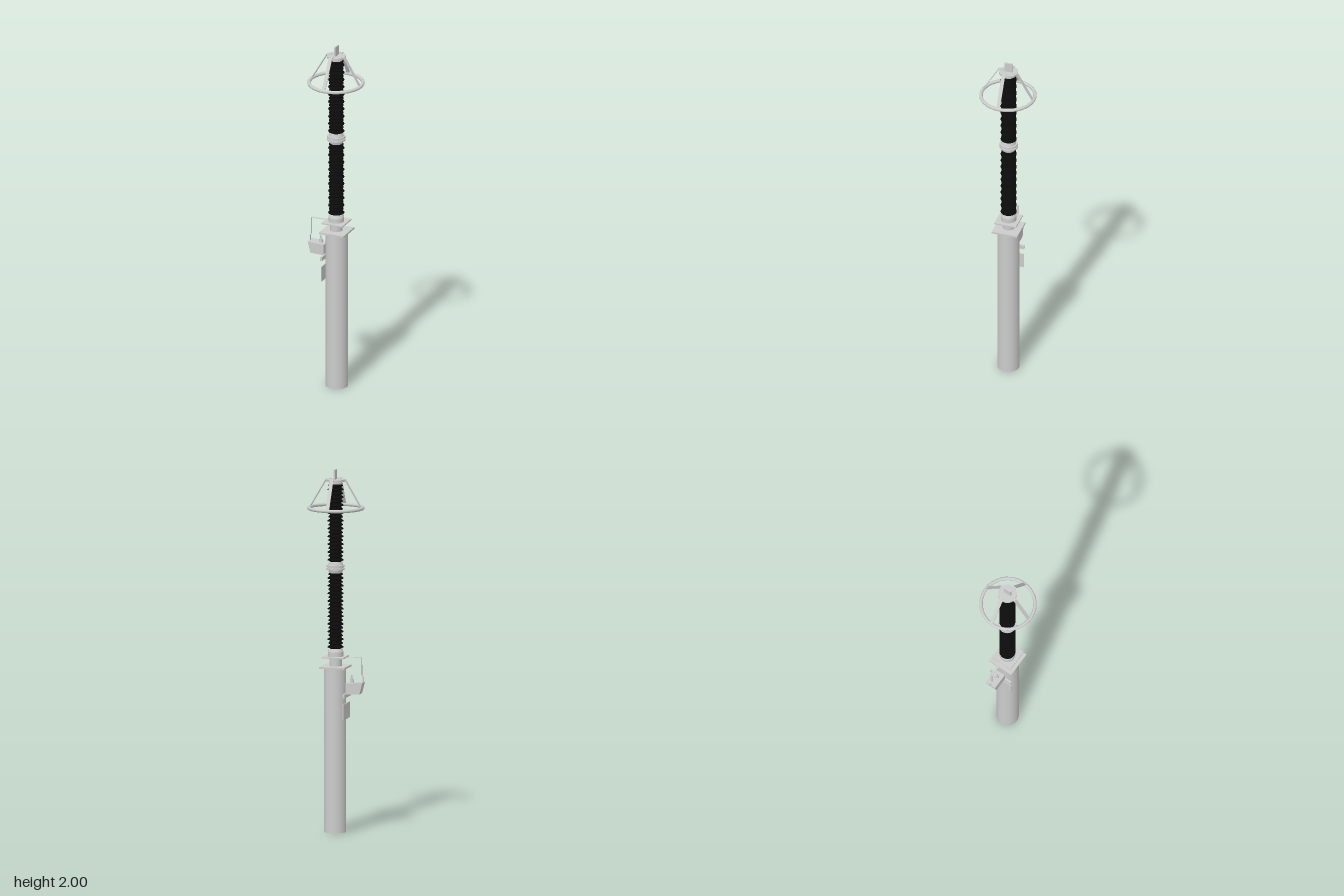
import * as THREE from 'three';

const grey = new THREE.MeshStandardMaterial({ color: 0xcccccc });
const greyThin = new THREE.MeshStandardMaterial({ color: 0xcccccc, side: THREE.DoubleSide });
const black = new THREE.MeshStandardMaterial({ color: 0x0b0b0b });

const AXIS_Z = -0.004; // the stacked column sits slightly behind the origin

function add(parent, name, geometry, material = grey) {
  const mesh = new THREE.Mesh(geometry, material);
  mesh.name = name;
  parent.add(mesh);
  return mesh;
}

// Box given by its minimum and maximum corners
function block(parent, name, [x0, y0, z0], [x1, y1, z1]) {
  const mesh = add(parent, name, new THREE.BoxGeometry(x1 - x0, y1 - y0, z1 - z0));
  mesh.position.set((x0 + x1) / 2, (y0 + y1) / 2, (z0 + z1) / 2);
  return mesh;
}

// Upright disc or tapered cylinder between two heights
function disc(parent, name, y0, y1, rBottom, rTop = rBottom, x = 0) {
  const mesh = add(parent, name, new THREE.CylinderGeometry(rTop, rBottom, y1 - y0, 32));
  mesh.position.set(x, (y0 + y1) / 2, AXIS_Z);
  return mesh;
}

// Ribbed insulator: thin sheds alternating in size around a core
function insulator(parent, name, y0, y1, sheds) {
  const core = 0.032;
  const pitch = (y1 - y0) / sheds;
  const points = [new THREE.Vector2(0, y0), new THREE.Vector2(core, y0)];
  for (let i = 0; i < sheds; i++) {
    const y = y0 + i * pitch;
    const r = i % 2 ? 0.040 : 0.044;
    points.push(
      new THREE.Vector2(core, y + pitch * 0.3),
      new THREE.Vector2(r, y + pitch * 0.4),
      new THREE.Vector2(r, y + pitch * 0.55),
      new THREE.Vector2(core, y + pitch * 0.95),
    );
  }
  points.push(new THREE.Vector2(core, y1), new THREE.Vector2(0, y1));
  add(parent, name, new THREE.LatheGeometry(points, 28), black).position.z = AXIS_Z;
}

// Flat strip following an x-y path, with its width along z
function strip(path, width, thickness) {
  const pts = path.map(([x, y]) => new THREE.Vector2(x, y));
  const normals = pts.map((p, i) => {
    const a = pts[Math.max(i - 1, 0)], b = pts[Math.min(i + 1, pts.length - 1)];
    const d = b.clone().sub(a).normalize();
    return new THREE.Vector2(-d.y, d.x).multiplyScalar(thickness / 2);
  });
  const upper = pts.map((p, i) => p.clone().add(normals[i]));
  const lower = pts.map((p, i) => p.clone().sub(normals[i])).reverse();
  const geometry = new THREE.ExtrudeGeometry(new THREE.Shape([...upper, ...lower]), {
    depth: width, bevelEnabled: false,
  });
  return geometry.translate(0, 0, -width / 2);
}

export function createModel() {
  const model = new THREE.Group();
  model.name = 'postInsulator';

  // Support column and mounting plates
  disc(model, 'supportColumn', 0, 0.906, 0.061, 0.061, 0.003);
  block(model, 'columnTopPlate', [-0.07, 0.906, -0.077], [0.075, 0.916, 0.07]);
  disc(model, 'neck', 0.916, 0.962, 0.034);
  block(model, 'basePlate', [-0.06, 0.962, -0.066], [0.064, 0.969, 0.059]);

  // Insulator stack with metal end fittings
  disc(model, 'lowerFitting', 0.969, 0.995, 0.043);
  disc(model, 'lowerCollar', 0.995, 1.012, 0.043, 0.036);
  insulator(model, 'lowerInsulator', 1.01, 1.432, 20);
  disc(model, 'jointLowerCollar', 1.43, 1.447, 0.036, 0.041);
  disc(model, 'jointLowerFlange', 1.447, 1.457, 0.05);
  disc(model, 'jointCore', 1.457, 1.463, 0.042);
  disc(model, 'jointUpperFlange', 1.463, 1.473, 0.05);
  disc(model, 'jointUpperCollar', 1.473, 1.492, 0.041, 0.036);
  insulator(model, 'upperInsulator', 1.49, 1.922, 20);
  disc(model, 'topCollar', 1.92, 1.934, 0.036);
  disc(model, 'topFlange', 1.934, 1.946, 0.052);
  block(model, 'terminalTab', [-0.003, 1.946, -0.024], [0.006, 2.0, 0.018]);

  // Corona ring and its four bent straps
  const ring = add(model, 'coronaRing', new THREE.TorusGeometry(0.148, 0.0095, 12, 28));
  ring.rotation.x = Math.PI / 2;
  ring.position.y = 1.787;
  const strapPath = [[0.03, 1.947], [0.054, 1.947], [0.142, 1.798], [0.147, 1.79]];
  const strapGeometry = strip(strapPath, 0.02, 0.004).translate(0, 0, 0.009);
  for (let i = 0; i < 4; i++) {
    add(model, 'ringStrap', strapGeometry).rotation.y = i * Math.PI / 2;
  }

  // Counter box with slanted face, bracket and name panel at the side
  const boxSide = new THREE.Shape([
    new THREE.Vector2(-0.143, 0.767), new THREE.Vector2(-0.064, 0.764),
    new THREE.Vector2(-0.064, 0.826), new THREE.Vector2(-0.159, 0.83),
  ]);
  const box = new THREE.ExtrudeGeometry(boxSide, { depth: 0.06, bevelEnabled: false });
  add(model, 'counterBox', box).position.z = -0.037;
  const stud = disc(model, 'boxStud', 0.826, 0.85, 0.011, 0.009, -0.093);
  stud.position.z = -0.007;
  const studTip = disc(model, 'boxStudTip', 0.85, 0.868, 0.004, 0.004, -0.093);
  studTip.position.z = -0.007;
  block(model, 'boxBracket', [-0.068, 0.746, -0.073], [-0.056, 0.768, 0.064]);
  block(model, 'sidePanel', [-0.062, 0.625, -0.073], [-0.058, 0.712, 0.064]);

  // Thin earthing strip from the base plate down to the box
  const earthPath = [[-0.055, 0.966], [-0.149, 0.966], [-0.149, 0.872], [-0.156, 0.86], [-0.156, 0.826]];
  add(model, 'earthingStrip', strip(earthPath, 0.012, 0.002), greyThin).position.z = -0.007;

  return model;
}
